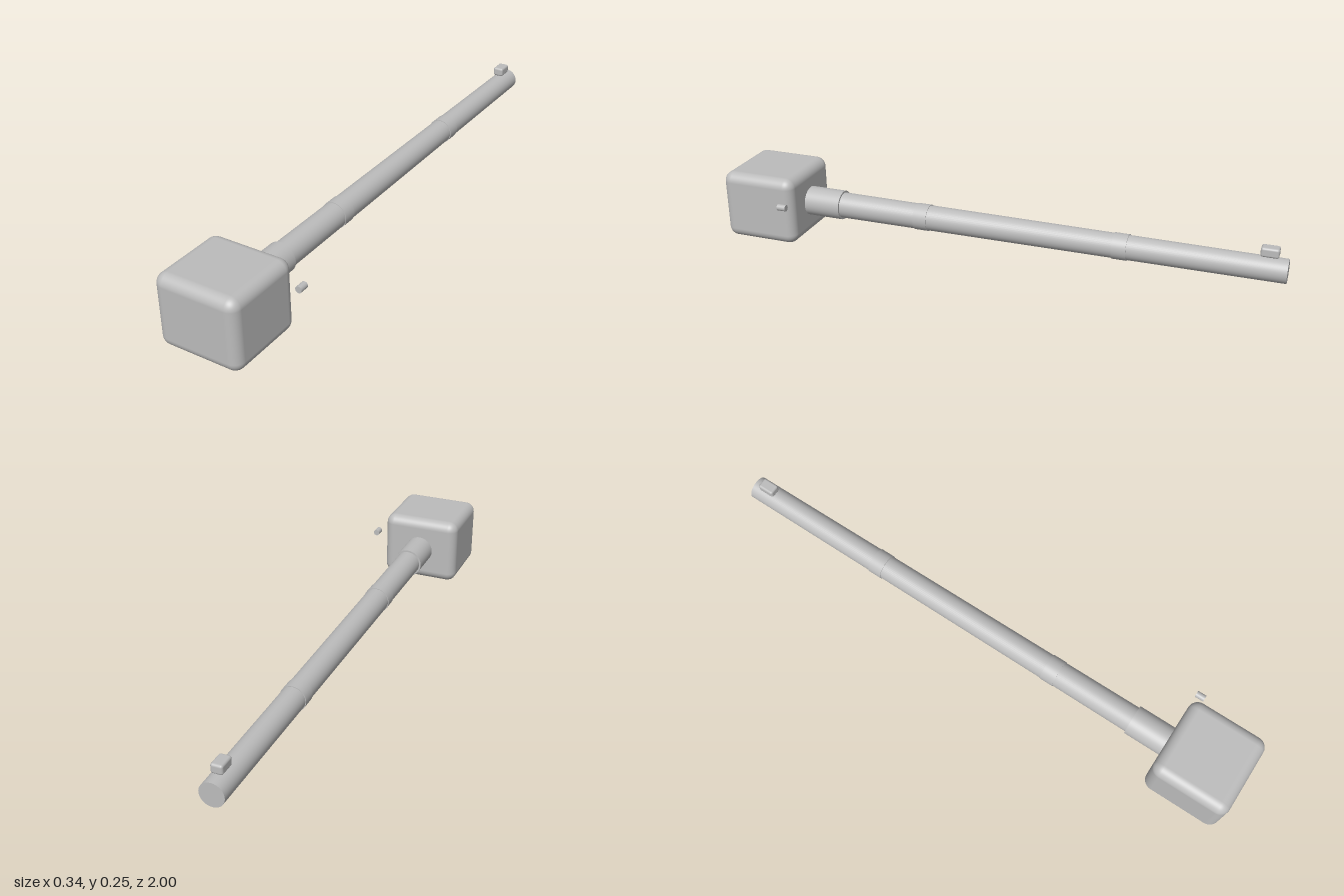
import * as THREE from 'three';
import { RoundedBoxGeometry } from 'three/addons/geometries/RoundedBoxGeometry.js';

const AXIS_X = -0.025, AXIS_Y = 0.125;

export function createModel() {
  const model = new THREE.Group();
  model.name = 'mallet';
  const grey = new THREE.MeshStandardMaterial({ color: 0xbcbcbc });
  grey.name = 'grey';

  function add(name, geometry, x, y, z) {
    const mesh = new THREE.Mesh(geometry, grey);
    mesh.name = name;
    mesh.position.set(x, y, z);
    model.add(mesh);
  }

  // Capped cylinder along z, from the front end to the back end
  function rod(name, zFront, zBack, rFront, rBack = rFront, x = AXIS_X, y = AXIS_Y) {
    const geometry = new THREE.CylinderGeometry(rFront, rBack, zFront - zBack, 48);
    geometry.rotateX(Math.PI / 2);
    add(name, geometry, x, y, (zFront + zBack) / 2);
  }

  // Head with rounded edges
  add('head', new RoundedBoxGeometry(0.294, 0.25, 0.28, 6, 0.036), AXIS_X, AXIS_Y, 0.86);

  // Handle: collar, tapered shaft and two thin bands
  rod('collar', 0.74, 0.585, 0.053);
  rod('shaft', 0.6, -1, 0.0465, 0.041);
  rod('frontBand', 0.295, 0.245, 0.0475);
  rod('rearBand', -0.425, -0.475, 0.0453);

  // Button near the end of the handle
  add('button', new RoundedBoxGeometry(0.04, 0.033, 0.06, 4, 0.008), AXIS_X, 0.187, -0.938);

  // Small separate pin beside the head
  rod('pin', 0.752, 0.72, 0.0115, 0.0115, 0.158, 0.167);

  return model;
}
